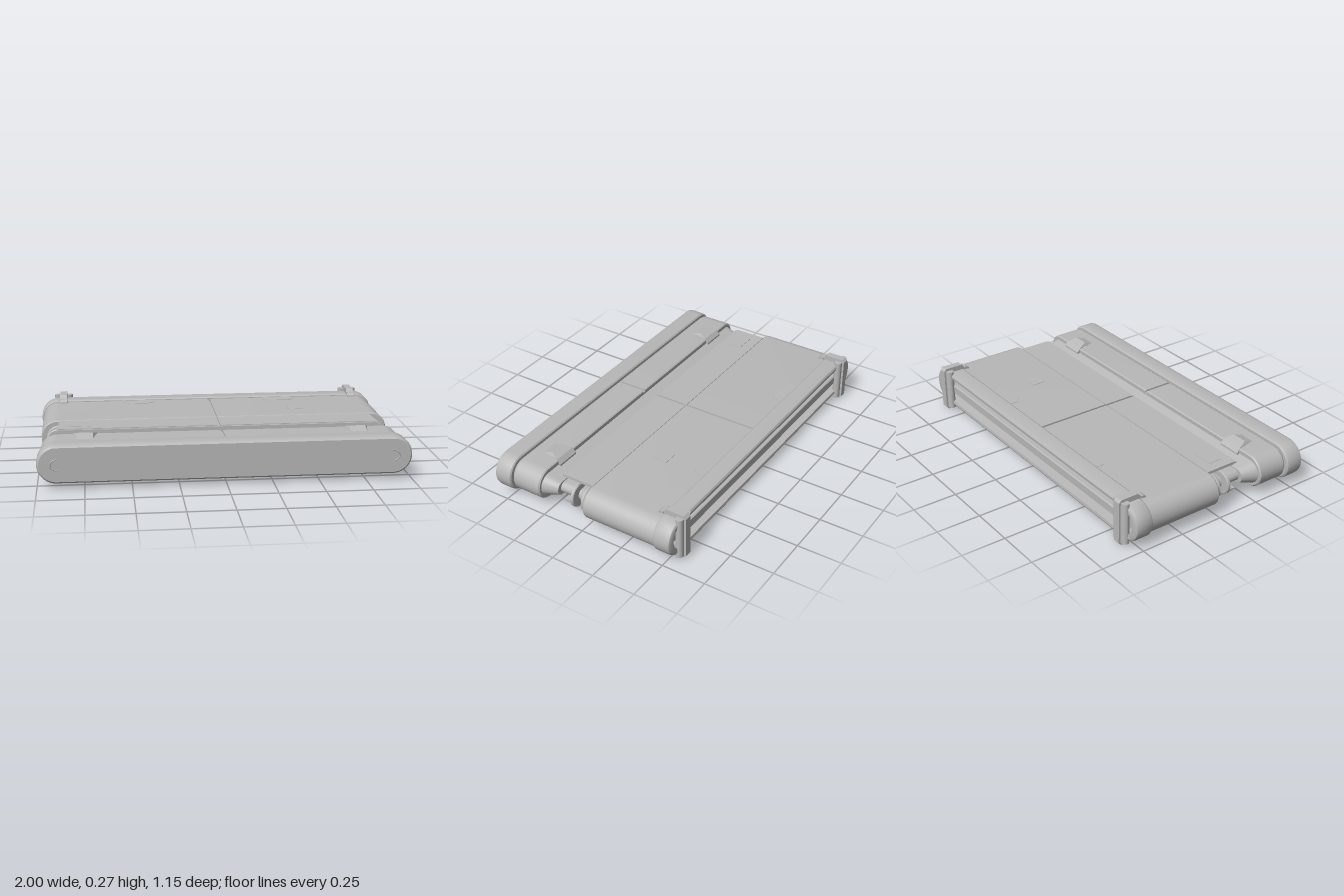
import * as THREE from 'three';
import { toCreasedNormals } from 'three/addons/utils/BufferGeometryUtils.js';

const MID = 0.137; // height of the horizontal symmetry plane

// Stadium outline, counter-clockwise, with an optional centre seam on top and bottom
function stadium(halfW, r, seam) {
  const pts = [], n = 20, c = halfW - r, s = 0.007, d = 0.01;
  const arc = (cx, start) => {
    for (let i = 0; i <= n; i++) {
      const a = start + (i / n) * Math.PI;
      pts.push(new THREE.Vector2(cx + r * Math.cos(a), r * Math.sin(a)));
    }
  };
  const groove = (k) => {
    for (const [x, y] of [[s, r], [s, r - d], [-s, r - d], [-s, r]]) pts.push(new THREE.Vector2(x * k, y * k));
  };
  arc(c, -Math.PI / 2);
  if (seam) groove(1);
  arc(-c, Math.PI / 2);
  if (seam) groove(-1);
  return pts;
}

// Skin through stadium sections [z, halfWidth, radius], closed at both ends
function loft(sections, seam = false) {
  const pos = [], idx = [];
  const rings = sections.map(([, w, r]) => stadium(w, r, seam));
  const m = rings[0].length;
  rings.forEach((ring, k) => ring.forEach((p) => pos.push(p.x, p.y + MID, sections[k][0])));
  for (let k = 0; k < rings.length - 1; k++) {
    for (let j = 0; j < m; j++) {
      const a = k * m + j, b = k * m + (j + 1) % m;
      idx.push(a, b, b + m, a, b + m, a + m);
    }
  }
  const last = (rings.length - 1) * m;
  for (const [a, b, c] of THREE.ShapeUtils.triangulateShape(rings[0], [])) idx.push(c, b, a);
  for (const [a, b, c] of THREE.ShapeUtils.triangulateShape(rings[rings.length - 1], [])) idx.push(last + a, last + b, last + c);
  const g = new THREE.BufferGeometry();
  g.setAttribute('position', new THREE.Float32BufferAttribute(pos, 3));
  g.setIndex(idx);
  return toCreasedNormals(g, 0.6);
}

const toShape = (pts) => new THREE.Shape(pts.map(([x, y]) => new THREE.Vector2(x, y)));

// Outline given in (z, y), extruded across x and centred on x = 0
function sideExtrude(pts, width) {
  const g = new THREE.ExtrudeGeometry(toShape(pts), { depth: width, bevelEnabled: false });
  return g.translate(0, 0, -width / 2).rotateY(-Math.PI / 2).scale(-1, 1, 1).rotateY(0);
}

// Outline given in (x, z), extruded upward from y0
function planExtrude(pts, y0, height) {
  const g = new THREE.ExtrudeGeometry(toShape(pts.map(([x, z]) => [x, -z])), { depth: height, bevelEnabled: false });
  return g.rotateX(-Math.PI / 2).translate(0, y0, 0);
}

export function createModel() {
  const model = new THREE.Group();
  const grey = new THREE.MeshStandardMaterial({ color: 0xb8b8b8 });
  grey.name = 'plain grey';
  grey.side = THREE.DoubleSide;
  const add = (name, geometry, parent = model) => {
    const mesh = new THREE.Mesh(geometry, grey);
    mesh.name = name;
    parent.add(mesh);
    return mesh;
  };

  // Front end cap with softened edges
  add('frontCap', loft([
    [0.468, 0.99, 0.095], [0.474, 0.998, 0.102], [0.482, 1, 0.104],
    [0.555, 1, 0.104], [0.568, 0.997, 0.1], [0.575, 0.988, 0.092],
  ]));
  add('frontGap', loft([[0.45, 0.97, 0.08], [0.475, 0.97, 0.08]]));

  // Front section and its sloping shoulder
  add('frontBody', loft([
    [0.285, 0.978, 0.086], [0.292, 0.985, 0.091], [0.452, 0.985, 0.091], [0.462, 0.978, 0.084],
  ], true));
  add('frontShoulder', loft([[0.198, 0.935, 0.038], [0.29, 0.968, 0.066]]));

  // Neck, collar and seal rings
  add('neck', loft([[-0.02, 0.91, 0.032], [0.21, 0.91, 0.032]]));
  add('neckCollar', loft([[-0.01, 0.945, 0.066], [0.015, 0.94, 0.062], [0.065, 0.92, 0.04]]));
  for (const z of [0.025, 0.092]) {
    add('sealRing', loft([
      [z - 0.01, 0.955, 0.063], [z - 0.006, 0.96, 0.069], [z + 0.006, 0.96, 0.069], [z + 0.01, 0.955, 0.063],
    ]));
  }

  // Main rear body
  add('rearBody', loft([
    [-0.45, 0.99, 0.092], [-0.006, 0.99, 0.092], [0.002, 0.984, 0.086],
  ], true));

  // Rear cap with a recessed back and a centre rail
  add('rearCap', loft([
    [-0.49, 0.95, 0.068], [-0.54, 0.955, 0.073], [-0.542, 0.985, 0.09], [-0.536, 0.996, 0.1],
    [-0.525, 1, 0.103], [-0.45, 1, 0.103], [-0.44, 0.994, 0.096],
  ]));
  add('rearRail', loft([[-0.53, 0.86, 0.022], [-0.525, 0.865, 0.027], [-0.485, 0.865, 0.027]]));

  // Details shared by the top and the underside
  for (const up of [1, -1]) {
    const face = new THREE.Group();
    face.name = up > 0 ? 'topDetails' : 'undersideDetails';
    face.position.y = MID;
    if (up < 0) face.rotation.z = Math.PI;
    model.add(face);

    // Sliding cover over the neck, in two halves
    for (const side of [1, -1]) {
      const cover = add('slidingCover', new THREE.BoxGeometry(0.883, 0.016, 0.18), face);
      cover.position.set(side * 0.4485, 0.082, 0.09);
      const lip = add('coverLip', new THREE.BoxGeometry(0.883, 0.009, 0.02), face);
      lip.position.set(side * 0.4485, 0.0815, 0.186);
      const backing = add('coverSeamFloor', new THREE.BoxGeometry(0.02, 0.006, 0.18), face);
      backing.position.set(0, 0.077, 0.09);

      // Latch wedge, narrowing away from the shoulder
      const wedge = sideExtrude([[0.27, 0.06], [0.4, 0.06], [0.4, 0.09], [0.37, 0.1], [0.342, 0.11], [0.292, 0.094], [0.27, 0.07]], 2);
      const p = wedge.attributes.position;
      for (let i = 0; i < p.count; i++) {
        const t = THREE.MathUtils.clamp((p.getZ(i) - 0.285) / 0.057, 0, 1);
        p.setX(i, p.getX(i) * (0.068 - 0.024 * t));
      }
      wedge.computeVertexNormals();
      add('latchWedge', wedge, face).position.x = side * 0.745;

      // Shallow finger grip beside the rear cap
      const grip = planExtrude([[-0.095, -0.44], [0.095, -0.44], [0.095, -0.395], [0.06, -0.365], [-0.06, -0.365], [-0.095, -0.395]], 0.09, 0.004);
      add('fingerGrip', grip, face).position.x = side * 0.42;
    }
  }

  // Thin square and vent panels on top
  const panel = (name, x, y, z, w, d) => add(name, new THREE.BoxGeometry(w, 0.003, d)).position.set(x, y, z);
  panel('squarePanel', 0.48, 0.2295, -0.17, 0.08, 0.08);
  panel('ventPanel', -0.77, 0.2275, 0.1, 0.12, 0.08);

  // Clamps over the rear cap and crescent marks on the front cap
  const upper = [[-0.405, 0.094], [-0.405, 0.1], [-0.42, 0.113], [-0.44, 0.115], [-0.455, 0.133], [-0.558, 0.133], [-0.573, 0.118]];
  const inner = [[-0.54, 0.1], [-0.45, 0.1]];
  const flip = (list) => list.map(([z, y]) => [z, -y]).reverse();
  const outline = [...upper, ...flip(upper), ...flip(inner), ...inner];
  for (const side of [1, -1]) {
    const clamp = new THREE.Group();
    clamp.name = side > 0 ? 'leftClamp' : 'rightClamp';
    clamp.position.set(side * 0.87, MID, 0);
    model.add(clamp);
    add('clampBracket', sideExtrude(outline, 0.042), clamp);
    const oval = [];
    for (let i = 0; i < 24; i++) {
      const a = (i / 24) * Math.PI * 2;
      oval.push([Math.sign(Math.cos(a)) * 0.03 + 0.023 * Math.cos(a), -0.541 + 0.021 * Math.sin(a)]);
    }
    add('clampPost', planExtrude(oval, -0.118, 0.236), clamp);
    for (const up of [1, -1]) {
      const pin = add('clampPin', new THREE.BoxGeometry(0.05, 0.012, 0.016), clamp);
      pin.position.set(0, up * 0.108, -0.43);
    }

    const mark = add('crescentMark', new THREE.TorusGeometry(0.036, 0.004, 6, 20, Math.PI));
    mark.scale.x = 0.8;
    mark.rotation.z = side > 0 ? -Math.PI / 2 : Math.PI / 2;
    mark.position.set(side * 0.893, MID, 0.575);
  }
  return model;
}
